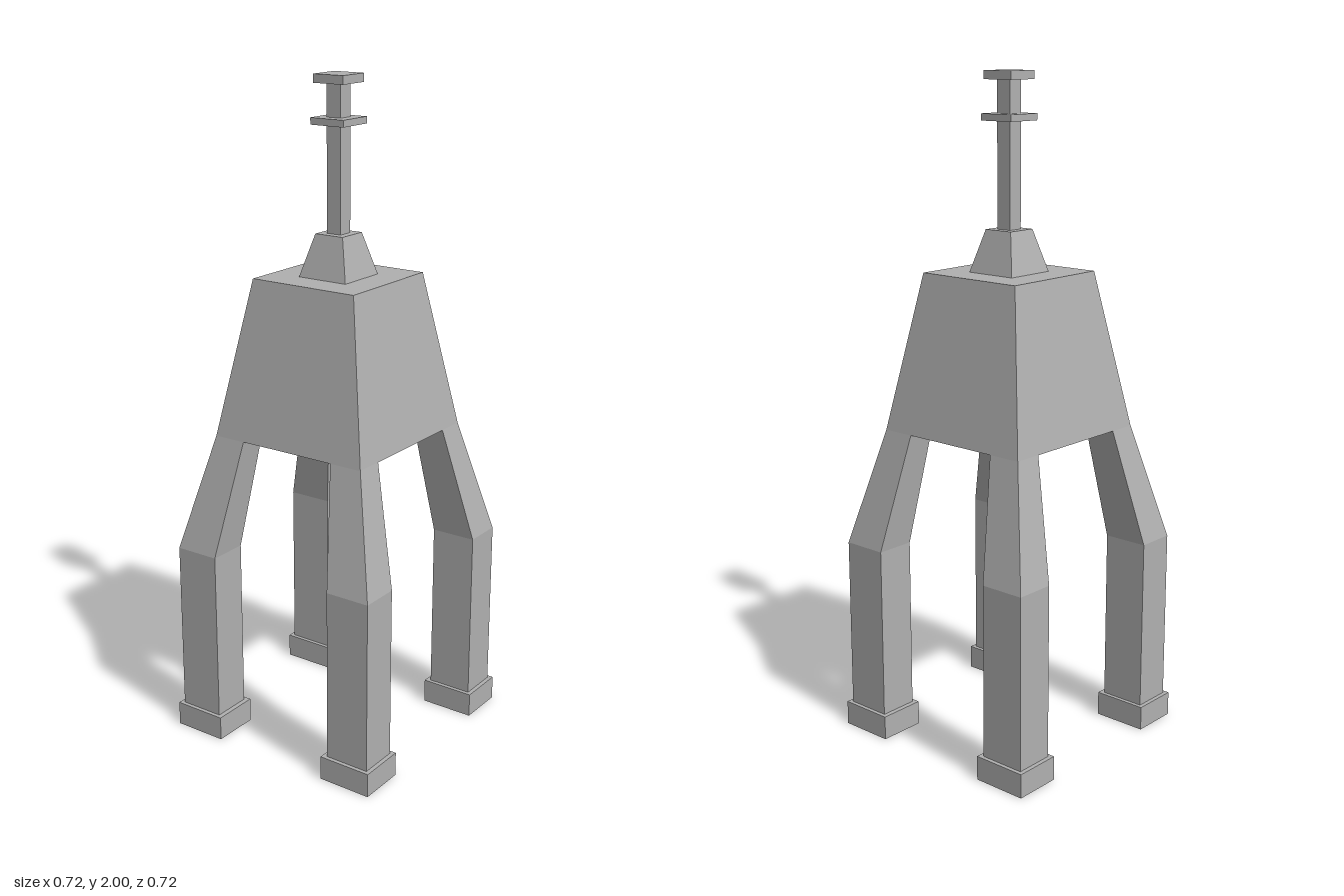
import * as THREE from 'three';

const grey = new THREE.MeshStandardMaterial({ color: 0xb0b0b0 });
grey.name = 'plain grey';

// Stacks rectangular sections [y, x0, x1, z0, z1], bottom to top, into a closed solid
function loft(name, rows) {
  const n = rows.length - 1;
  const box = new THREE.BoxGeometry(1, 1, 1, 1, n, 1);
  const p = box.attributes.position;
  for (let i = 0; i < p.count; i++) {
    const [y, x0, x1, z0, z1] = rows[Math.round((p.getY(i) + 0.5) * n)];
    p.setXYZ(i, p.getX(i) < 0 ? x0 : x1, y, p.getZ(i) < 0 ? z0 : z1);
  }
  const geometry = box.toNonIndexed();
  geometry.computeVertexNormals(); // flat facets
  const mesh = new THREE.Mesh(geometry, grey);
  mesh.name = name;
  return mesh;
}

// Square solid centred on the axis, from [y, halfWidth] pairs
const square = (name, rows) => loft(name, rows.map(([y, h]) => [y, -h, h, -h, h]));

export function createModel() {
  const model = new THREE.Group();
  model.name = 'fourLeggedTower';

  // Central body and mast
  model.add(
    square('body', [[0.953, 0.26], [1.425, 0.177]]),
    square('mastBase', [[1.425, 0.082], [1.55, 0.048]]),
    square('mast', [[1.55, 0.024], [1.975, 0.024]]),
    square('mastCollar', [[1.86, 0.057], [1.88, 0.057]]),
    square('mastCap', [[1.975, 0.051], [2, 0.051]])
  );

  // Four bent legs with block feet; sections are [y, inner x, outer x, inner z, outer z]
  const legRows = [
    [0.074, 0.224, 0.346, 0.206, 0.346],
    [0.6, 0.224, 0.346, 0.206, 0.346],
    [0.953, 0.172, 0.26, 0.157, 0.26]
  ];
  const footRows = [0, 0.074].map((y) => [y, 0.212, 0.358, 0.191, 0.359]);
  for (const sx of [-1, 1]) {
    for (const sz of [-1, 1]) {
      const place = (rows) => rows.map(([y, a, b, c, d]) => [
        y, ...(sx > 0 ? [a, b] : [-b, -a]), ...(sz > 0 ? [c, d] : [-d, -c])
      ]);
      const suffix = (sz > 0 ? 'Front' : 'Back') + (sx > 0 ? 'Left' : 'Right');
      model.add(loft('leg' + suffix, place(legRows)), loft('foot' + suffix, place(footRows)));
    }
  }
  return model;
}
